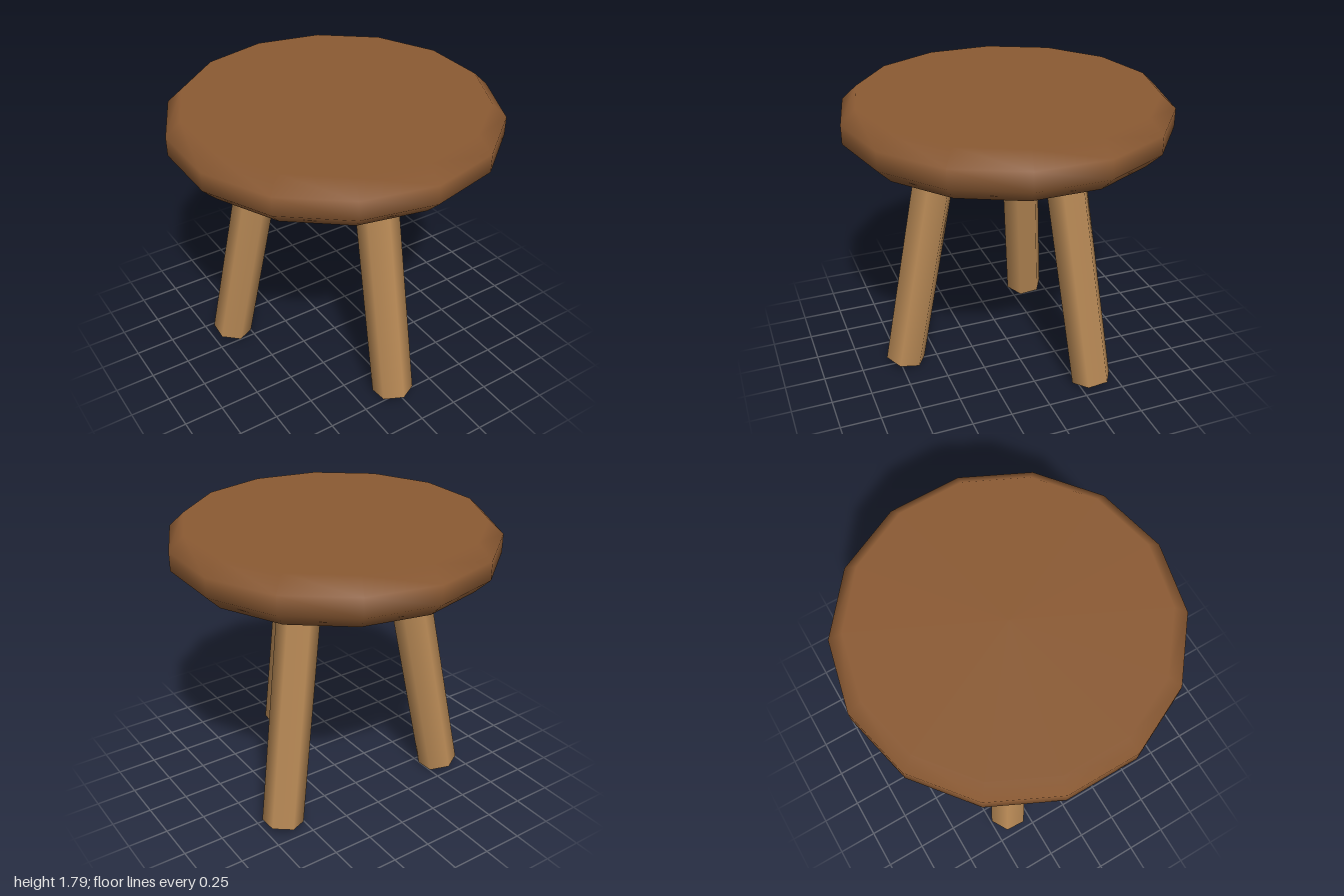
import * as THREE from 'three';

export function createModel() {
  const stool = new THREE.Group();
  stool.name = 'stool';
  const seatWood = new THREE.MeshStandardMaterial({ color: 0x8b5a33 });
  const legWood = new THREE.MeshStandardMaterial({ color: 0xb98a56 });

  // Seat: 14-sided disc with bevelled rims
  const bottomY = 1.5, topY = 1.79;
  const profile = [
    [0, bottomY], [0.91, bottomY], [1, 1.59], [1, 1.705], [0.91, topY], [0, topY],
  ].map(([r, y]) => new THREE.Vector2(r, y));
  const seatGeometry = new THREE.LatheGeometry(profile, 14);

  // Flat faces get vertical normals, so the bevels blend softly into them
  const { position, normal } = seatGeometry.attributes;
  for (let i = 0; i < position.count; i++) {
    const y = position.getY(i);
    if (y > topY - 0.01) normal.setXYZ(i, 0, 1, 0);
    if (y < bottomY + 0.01) normal.setXYZ(i, 0, -1, 0);
  }
  const seat = new THREE.Mesh(seatGeometry, seatWood);
  seat.name = 'seat';
  stool.add(seat);

  // Legs: three hexagonal posts splayed outward, their tops sunk in the seat
  const tilt = 0.188, length = 1.6;
  const legGeometry = new THREE.CylinderGeometry(0.128, 0.128, length, 6);
  legGeometry.translate(0, length / 2, 0);
  legGeometry.rotateX(-tilt);
  legGeometry.translate(0, 0.025, 0.707);

  ['frontLeg', 'leftLeg', 'rightLeg'].forEach((name, i) => {
    const leg = new THREE.Mesh(legGeometry, legWood);
    leg.name = name;
    leg.rotation.y = i * Math.PI * 2 / 3 - 0.022;
    stool.add(leg);
  });

  return stool;
}
